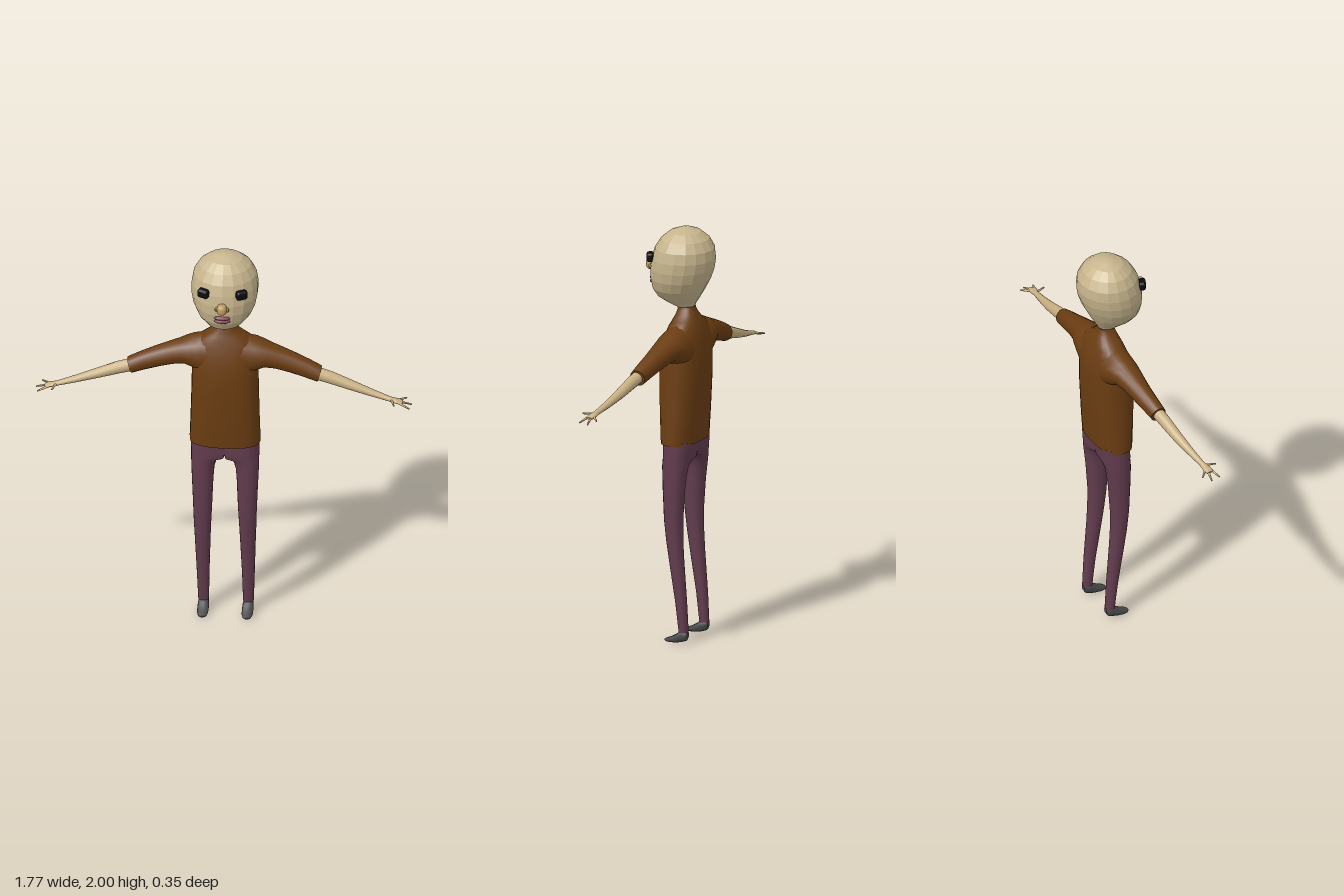
import * as THREE from 'three';
import { RoundedBoxGeometry } from 'three/addons/geometries/RoundedBoxGeometry.js';

const paint = (color, flatShading = false) =>
  new THREE.MeshStandardMaterial({ color, flatShading, side: THREE.DoubleSide });

// Closed superellipse ring; at(a, b) places unit coordinates (-1..1) in space
function ring(sides, at, p = 2) {
  const bend = v => Math.sign(v) * Math.abs(v) ** (2 / p);
  return Array.from({ length: sides }, (_, i) => {
    const t = (i / sides) * Math.PI * 2;
    return at(bend(Math.cos(t)), bend(Math.sin(t)));
  });
}

// Skin through a list of rings, with flat caps at both ends
function loft(rings) {
  const n = rings[0].length, pos = rings.flat(2), index = [];
  for (let i = 0; i < rings.length - 1; i++)
    for (let j = 0; j < n; j++) {
      const k = (j + 1) % n, a = i * n + j, b = i * n + k;
      index.push(a, b, b + n, a, b + n, a + n);
    }
  [rings[0], rings.at(-1)].forEach((r, end) => {
    const base = pos.length / 3;
    pos.push(...r.flat(), ...[0, 1, 2].map(c => r.reduce((s, q) => s + q[c], 0) / n));
    for (let j = 0; j < n; j++) {
      const k = (j + 1) % n;
      index.push(base + n, base + (end ? j : k), base + (end ? k : j));
    }
  });
  const g = new THREE.BufferGeometry();
  g.setAttribute('position', new THREE.Float32BufferAttribute(pos, 3));
  g.setIndex(index);
  g.computeVertexNormals();
  return g;
}

const mid = (a, b, t) => (a + b) / 2 + t * (a - b) / 2;

// Upright sections: y, half width, front z, back z
const upright = (rows, sides, p) => loft(rows.map(([y, w, f, b]) =>
  ring(sides, (u, v) => [v * w, y, mid(f, b, u)], p)));

// Arm sections: x, top y, bottom y, front z, back z; rings lean square to the arm
const armLoft = (rows, sides) => loft(rows.map(([x, t, b, f, k]) =>
  ring(sides, (u, v) => [x + u * (t - b) * 0.14, mid(t, b, u), mid(f, k, v)])));

// Leg sections going down: y, outer x, inner x, front z, back z, inner squareness
const legLoft = rows => loft(rows.map(([y, o, i, f, k, sq = 0]) =>
  ring(16, (u, v) => {
    const flat = u < 0 ? u * (1 - sq) - sq * Math.min(1, -u * 3) : u;
    return [mid(o, i, flat), y, mid(f, k, v)];
  }, 2.2)));

// Shoe sections from heel to toe: z, half width, top y, bottom y
const shoeLoft = rows => loft(rows.map(([z, w, t, b]) =>
  ring(12, (u, v) => [0.105 + u * w, mid(t, b, v), z], 2.3)));

// Tapered finger between two points
function finger(from, to) {
  const a = new THREE.Vector3(...from), b = new THREE.Vector3(...to), d = b.clone().sub(a);
  const g = new THREE.CylinderGeometry(0.0035, 0.0065, d.length(), 7);
  g.applyQuaternion(new THREE.Quaternion().setFromUnitVectors(
    new THREE.Vector3(0, 1, 0), d.normalize()));
  const c = a.add(b).multiplyScalar(0.5);
  return g.translate(c.x, c.y, c.z);
}

function mirrorX(geometry) {
  const g = geometry.clone().scale(-1, 1, 1), ix = g.index.array;
  for (let i = 0; i < ix.length; i += 3) [ix[i], ix[i + 1]] = [ix[i + 1], ix[i]];
  g.computeVertexNormals();
  return g;
}

export function createModel() {
  const model = new THREE.Group();
  const skin = paint(0xc6b48c, true), armSkin = paint(0xc9b083), shirt = paint(0x6b3d12);
  const trousers = paint(0x623c4e), shoes = paint(0x484848), black = paint(0x0b0b0b);
  const noseTone = paint(0xc09c62, true), lips = paint(0x854454);

  const add = (name, geometry, material) => {
    const m = new THREE.Mesh(geometry, material);
    m.name = name;
    model.add(m);
    return m;
  };
  const pair = (name, geometry, material) => {
    add(name + 'Left', geometry, material);
    add(name + 'Right', mirrorX(geometry), material);
  };

  // Faceted head narrowing into the neck
  add('head', upright([
    [1.57, 0.034, 0.0, -0.07], [1.612, 0.037, 0.01, -0.073], [1.63, 0.055, 0.06, -0.08],
    [1.66, 0.09, 0.108, -0.098], [1.7, 0.124, 0.13, -0.121], [1.75, 0.147, 0.138, -0.146],
    [1.8, 0.157, 0.138, -0.164], [1.85, 0.158, 0.129, -0.172], [1.9, 0.149, 0.113, -0.167],
    [1.945, 0.123, 0.085, -0.142], [1.978, 0.083, 0.045, -0.102], [1.995, 0.035, 0, -0.06],
    [2.0, 0.004, -0.026, -0.034],
  ], 18), skin);

  // Face
  for (const s of [1, -1]) {
    const eye = add('eye' + (s > 0 ? 'Left' : 'Right'),
      new RoundedBoxGeometry(0.055, 0.045, 0.035, 2, 0.013), black);
    eye.position.set(s * 0.09, 1.857, 0.11);
    eye.rotation.y = s * 0.45;
    const nostril = add('nostril' + (s > 0 ? 'Left' : 'Right'),
      new THREE.SphereGeometry(0.012, 8, 6), noseTone);
    nostril.position.set(s * 0.022, 1.79, 0.142);
  }
  const nose = add('nose', new RoundedBoxGeometry(0.046, 0.052, 0.05, 2, 0.02), noseTone);
  nose.position.set(0, 1.796, 0.15);
  for (const s of [1, -1]) {
    const lip = add(s > 0 ? 'upperLip' : 'lowerLip', new THREE.SphereGeometry(1, 14, 8), lips);
    lip.scale.set(0.039, 0.011, 0.014);
    lip.position.set(0, 1.73 + s * 0.0085, 0.134);
  }

  // Shirt body and short sleeves
  add('shirtBody', upright([
    [0.968, 0.166, 0.057, -0.113], [0.985, 0.167, 0.058, -0.114], [1.1, 0.163, 0.066, -0.125],
    [1.25, 0.159, 0.073, -0.136], [1.36, 0.157, 0.073, -0.139], [1.44, 0.155, 0.06, -0.134],
    [1.495, 0.147, 0.042, -0.122], [1.53, 0.125, 0.03, -0.111], [1.555, 0.088, 0.02, -0.101],
    [1.58, 0.058, 0.01, -0.09], [1.605, 0.042, 0.003, -0.08], [1.618, 0.038, 0.0, -0.077],
  ], 24, 2.4), shirt);
  pair('sleeve', armLoft([
    [0.06, 1.545, 1.3, 0.05, -0.125], [0.12, 1.533, 1.33, 0.045, -0.125],
    [0.165, 1.518, 1.365, 0.04, -0.115], [0.2, 1.505, 1.385, 0.034, -0.101],
    [0.25, 1.488, 1.382, 0.029, -0.088], [0.32, 1.462, 1.366, 0.026, -0.073],
    [0.39, 1.434, 1.347, 0.028, -0.058], [0.447, 1.408, 1.33, 0.031, -0.046],
  ], 16), shirt);

  // Forearms, palms and spread fingers
  pair('forearm', armLoft([
    [0.42, 1.406, 1.346, 0.023, -0.036], [0.5, 1.385, 1.327, 0.028, -0.027],
    [0.6, 1.348, 1.302, 0.035, -0.013], [0.7, 1.313, 1.28, 0.043, 0.007],
    [0.78, 1.288, 1.265, 0.051, 0.024], [0.81, 1.281, 1.261, 0.062, 0.022],
    [0.83, 1.275, 1.259, 0.064, 0.021], [0.842, 1.27, 1.258, 0.058, 0.028],
  ], 12), armSkin);
  const tips = [[0.858, 1.262, -0.004], [0.885, 1.247, 0.03], [0.877, 1.249, 0.076]];
  tips.forEach((tip, i) =>
    pair('finger' + (i + 1), finger([0.822, 1.268, 0.028 + i * 0.014], tip), armSkin));
  pair('thumb', finger([0.79, 1.275, 0.045], [0.806, 1.274, 0.096]), armSkin);

  // Trouser legs meeting at the hips, with an arched crotch
  pair('trouserLeg', legLoft([
    [0.98, 0.16, 0, 0.036, -0.103, 1], [0.92, 0.161, 0, 0.036, -0.1, 1],
    [0.893, 0.161, 0, 0.035, -0.097, 0.8], [0.882, 0.16, 0.022, 0.034, -0.094, 0.4],
    [0.86, 0.16, 0.039, 0.033, -0.09], [0.82, 0.159, 0.05, 0.031, -0.084],
    [0.75, 0.156, 0.055, 0.029, -0.076], [0.6, 0.15, 0.061, 0.023, -0.066],
    [0.5, 0.147, 0.066, 0.012, -0.067], [0.4, 0.143, 0.07, -0.003, -0.073],
    [0.2, 0.136, 0.077, -0.035, -0.089], [0.055, 0.131, 0.08, -0.052, -0.097],
  ]), trousers);

  // Slipper shoes
  pair('shoe', shoeLoft([
    [-0.097, 0.012, 0.058, 0.03], [-0.088, 0.023, 0.068, 0.014], [-0.062, 0.026, 0.066, 0.005],
    [-0.042, 0.027, 0.046, 0.001], [-0.01, 0.026, 0.027, 0], [0.012, 0.02, 0.019, 0.001],
    [0.022, 0.009, 0.014, 0.005],
  ]), shoes);

  return model;
}
